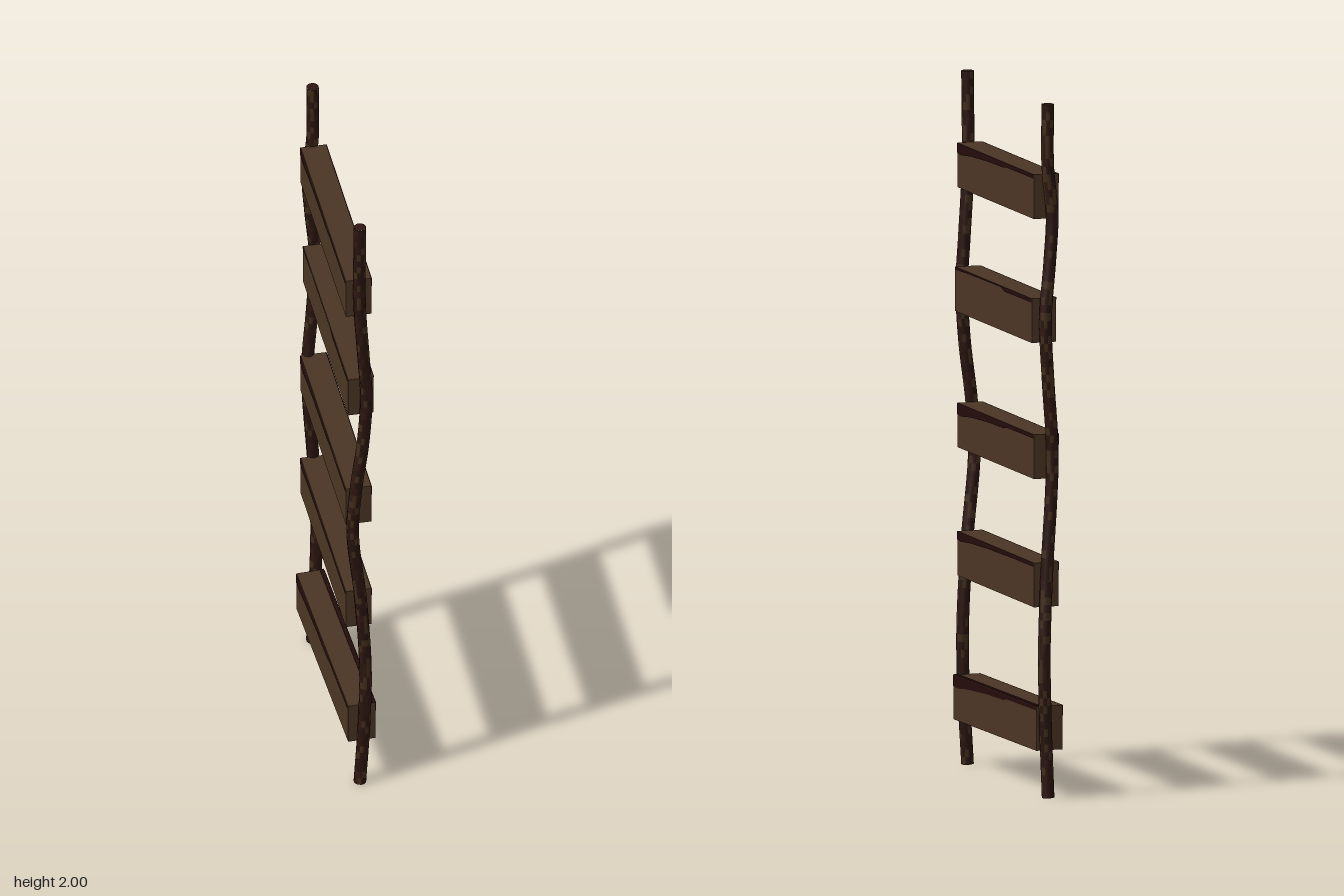
import * as THREE from 'three';

const mat = (name, color, side = THREE.FrontSide) => {
  const m = new THREE.MeshStandardMaterial({ color, side });
  m.name = name;
  return m;
};

// Deterministic noise in 0..1 for the bark pattern
const hash = (n) => {
  const s = Math.sin(n * 12.9898) * 43758.5453;
  return s - Math.floor(s);
};

export function createModel() {
  const wood = mat('plankWood', 0x4b3524);
  const stain = mat('darkStain', 0x220c0b, THREE.DoubleSide);
  const bark = [mat('darkBark', 0x28140e), mat('brownBark', 0x402d1a), mat('redBark', 0x301712)];
  const ladder = new THREE.Group();
  ladder.name = 'ladder';

  // Crooked side pole: points are [x, y, z]
  const RADIUS = 0.018, SIDES = 10, STEPS = 90;
  function addPole(name, points, seed) {
    const pole = new THREE.Group();
    pole.name = name;
    const curve = new THREE.CatmullRomCurve3(points.map((p) => new THREE.Vector3(...p)), false, 'centripetal');
    const geo = new THREE.TubeGeometry(curve, STEPS, RADIUS, SIDES, false);
    // Mottled bark: each small patch of faces takes one of the bark colours
    geo.clearGroups();
    for (let i = 0; i < STEPS * SIDES; i++) {
      const h = hash(i + seed);
      geo.addGroup(i * 6, 6, h < 0.5 ? 0 : h < 0.75 ? 1 : 2);
    }
    const shaft = new THREE.Mesh(geo, bark);
    shaft.name = name + 'Bark';
    pole.add(shaft);
    // Flat ends
    [0, 1].forEach((t) => {
      const cap = new THREE.Mesh(new THREE.CircleGeometry(RADIUS, SIDES), bark[t ? 2 : 0]);
      cap.name = t ? 'topEnd' : 'bottomEnd';
      cap.position.copy(curve.getPoint(t));
      cap.rotation.x = t ? -Math.PI / 2 : Math.PI / 2;
      pole.add(cap);
    });
    ladder.add(pole);
  }

  addPole('frontPole', [
    [0, 0, 0.336], [0.014, 0.22, 0.331], [0.018, 0.4, 0.327], [0.004, 0.65, 0.328], [-0.021, 0.9, 0.337],
    [-0.012, 1.05, 0.336], [0.01, 1.22, 0.333], [0.02, 1.38, 0.33], [0.012, 1.52, 0.33],
    [0, 1.72, 0.333], [0, 2, 0.336]], 3);
  addPole('backPole', [
    [0, 0, -0.333], [0.008, 0.2, -0.334], [0.013, 0.42, -0.337], [0.002, 0.65, -0.328], [-0.015, 0.9, -0.321],
    [-0.016, 1.02, -0.322], [0, 1.2, -0.333], [0.009, 1.38, -0.336], [-0.006, 1.55, -0.331],
    [-0.014, 1.68, -0.328], [0, 1.82, -0.33], [0, 2, -0.33]], 911);

  // Plank rungs: centre y, centre x, turn, width, strength of the stain
  const LENGTH = 0.635, HEIGHT = 0.128;
  const rungs = [
    [0.198, 0, 0.03, 0.08, 1],
    [0.612, 0, 0, 0.074, 0.75],
    [0.982, 0, 0, 0.074, 1],
    [1.375, 0.007, 0, 0.074, 0.2],
    [1.732, 0, 0, 0.074, 0.9],
  ];
  rungs.forEach(([y, x, turn, width, strength], i) => {
    const rung = new THREE.Group();
    rung.name = 'rung' + (i + 1);
    rung.position.set(x, y, 0);
    rung.rotation.y = turn;
    const plank = new THREE.Mesh(new THREE.BoxGeometry(width, HEIGHT, LENGTH), wood);
    plank.name = 'plank';
    rung.add(plank);

    // Dark stain under the upper edge of both broad faces
    const h = LENGTH / 2, top = HEIGHT / 2, d = 0.035 * strength;
    const shape = new THREE.Shape([
      [-h, top], [-h, top - d * 0.9], [-h * 0.9, top - d], [-h * 0.65, top - d * 0.75], [-h * 0.2, top - d * 0.55],
      [h * 0.2, top - d * 0.5], [h * 0.3, top - 0.012], [h, top - 0.011], [h, top],
    ].map(([a, b]) => new THREE.Vector2(a, b)));
    [1, -1].forEach((s) => {
      const patch = new THREE.Mesh(new THREE.ShapeGeometry(shape), stain);
      patch.name = s > 0 ? 'leftStain' : 'rightStain';
      patch.rotation.y = s * Math.PI / 2;
      patch.position.x = s * (width / 2 + 0.0015);
      rung.add(patch);
    });

    // Worn upper edge of the lowest rung
    if (i === 0) {
      const edge = new THREE.Mesh(new THREE.BoxGeometry(0.012, 0.003, LENGTH), stain);
      edge.name = 'wornEdge';
      edge.position.set(width / 2 - 0.006, top + 0.001, 0);
      rung.add(edge);
    }
    ladder.add(rung);
  });

  return ladder;
}
